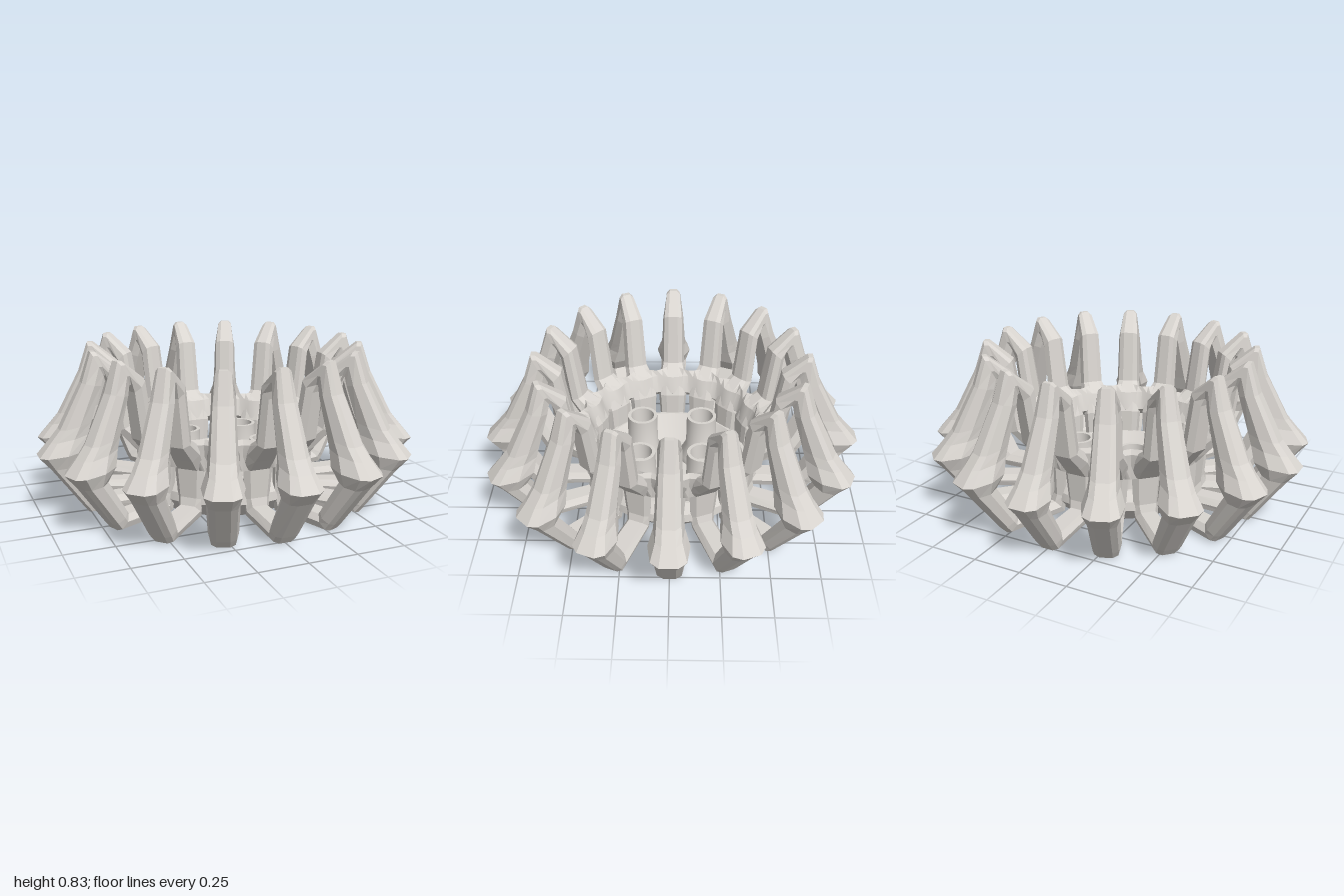
import * as THREE from 'three';
import { toCreasedNormals } from 'three/addons/utils/BufferGeometryUtils.js';

const grey = new THREE.MeshStandardMaterial({ color: 0xd8d4cf });
grey.name = 'warmGrey';

const ARMS = 16;

function lathe(points, segments) {
  return new THREE.LatheGeometry(points.map(([r, y]) => new THREE.Vector2(r, y)), segments);
}

function named(geometry, name) {
  const mesh = new THREE.Mesh(geometry, grey);
  mesh.name = name;
  return mesh;
}

// Closed arm frame: [face radius, face y, back radius, back y, half width]
const STATIONS = [
  [1.0, 0.32, 0.78, 0.34, 0.1],
  [0.94, 0.39, 0.755, 0.42, 0.074],
  [0.89, 0.45, 0.735, 0.48, 0.068],
  [0.77, 0.68, 0.675, 0.66, 0.057],
  [0.72, 0.83, 0.66, 0.71, 0.045],
  [0.695, 0.83, 0.65, 0.71, 0.045],
  [0.57, 0.73, 0.635, 0.67, 0.058],
  [0.525, 0.45, 0.6, 0.42, 0.064],
  [0.455, 0.41, 0.52, 0.33, 0.08],
  [0.405, 0.3, 0.47, 0.27, 0.08],
  [0.4, 0.1, 0.46, 0.12, 0.068],
  [0.41, 0.005, 0.47, 0.08, 0.06],
  [0.76, 0, 0.7, 0.075, 0.068],
  [0.79, 0.04, 0.71, 0.09, 0.073],
  [0.945, 0.255, 0.82, 0.27, 0.078],
];

// Half of the eight-sided section: narrow face, wide shoulder, narrower back
const HALF = [[0, 0.45], [0.15, 0.85], [0.6, 1], [1, 0.65]];
const SECTION = [...HALF.map(([t, s]) => [t, -s]), ...HALF.toReversed()];

function armGeometry() {
  const rings = STATIONS.map(([r0, y0, r1, y1, w]) => SECTION.map(([t, s]) =>
    [r0 + (r1 - r0) * t, y0 + (y1 - y0) * t, w * s]));
  const pos = [];
  const n = SECTION.length;
  rings.forEach((ring, i) => {
    const next = rings[(i + 1) % rings.length];
    for (let j = 0; j < n; j++) {
      const k = (j + 1) % n;
      pos.push(...ring[j], ...ring[k], ...next[k], ...ring[j], ...next[k], ...next[j]);
    }
  });
  const g = new THREE.BufferGeometry();
  g.setAttribute('position', new THREE.Float32BufferAttribute(pos, 3));
  g.computeVertexNormals();
  return g;
}

// Collar whose rim flares into each arm and is notched between them
function collarGeometry() {
  const g = lathe([[0.46, 0.27], [0.5, 0.35], [0.51, 0.41], [0.495, 0.435],
    [0.45, 0.405], [0.42, 0.31], [0.46, 0.27]], ARMS * 6);
  const p = g.attributes.position;
  for (let i = 0; i < p.count; i++) {
    const x = p.getX(i), z = p.getZ(i);
    const r = Math.hypot(x, z);
    const wave = Math.cos(ARMS * Math.atan2(z, x));
    const scale = (r + (r > 0.48 ? 0.022 : -0.012) * wave) / r;
    p.setXYZ(i, x * scale, p.getY(i), z * scale);
  }
  return toCreasedNormals(g, 0.5);
}

export function createModel() {
  const model = new THREE.Group();
  model.name = 'armedBasket';

  // Shallow dish at the base
  model.add(named(toCreasedNormals(lathe([[0, 0], [0.37, 0], [0.45, 0.085], [0.445, 0.13],
    [0.41, 0.18], [0.395, 0.18], [0.29, 0.05], [0, 0.05]], 48), 0.4), 'baseDish'));

  model.add(named(collarGeometry(), 'collar'));

  // Ring of looped arms
  const arms = new THREE.Group();
  arms.name = 'arms';
  const arm = armGeometry();
  for (let i = 0; i < ARMS; i++) {
    const mesh = named(arm, 'arm');
    mesh.rotation.y = (i / ARMS) * Math.PI * 2;
    arms.add(mesh);
  }
  model.add(arms);

  // Four hollow posts with flared feet
  const post = toCreasedNormals(lathe([[0.122, 0.045], [0.12, 0.08], [0.085, 0.15], [0.082, 0.33],
    [0.064, 0.33], [0.058, 0.24], [0, 0.24]], 24), 0.6);
  for (const x of [-0.165, 0.165]) {
    for (const z of [-0.165, 0.165]) {
      const mesh = named(post, 'post');
      mesh.position.set(x, 0, z);
      model.add(mesh);
    }
  }
  return model;
}
